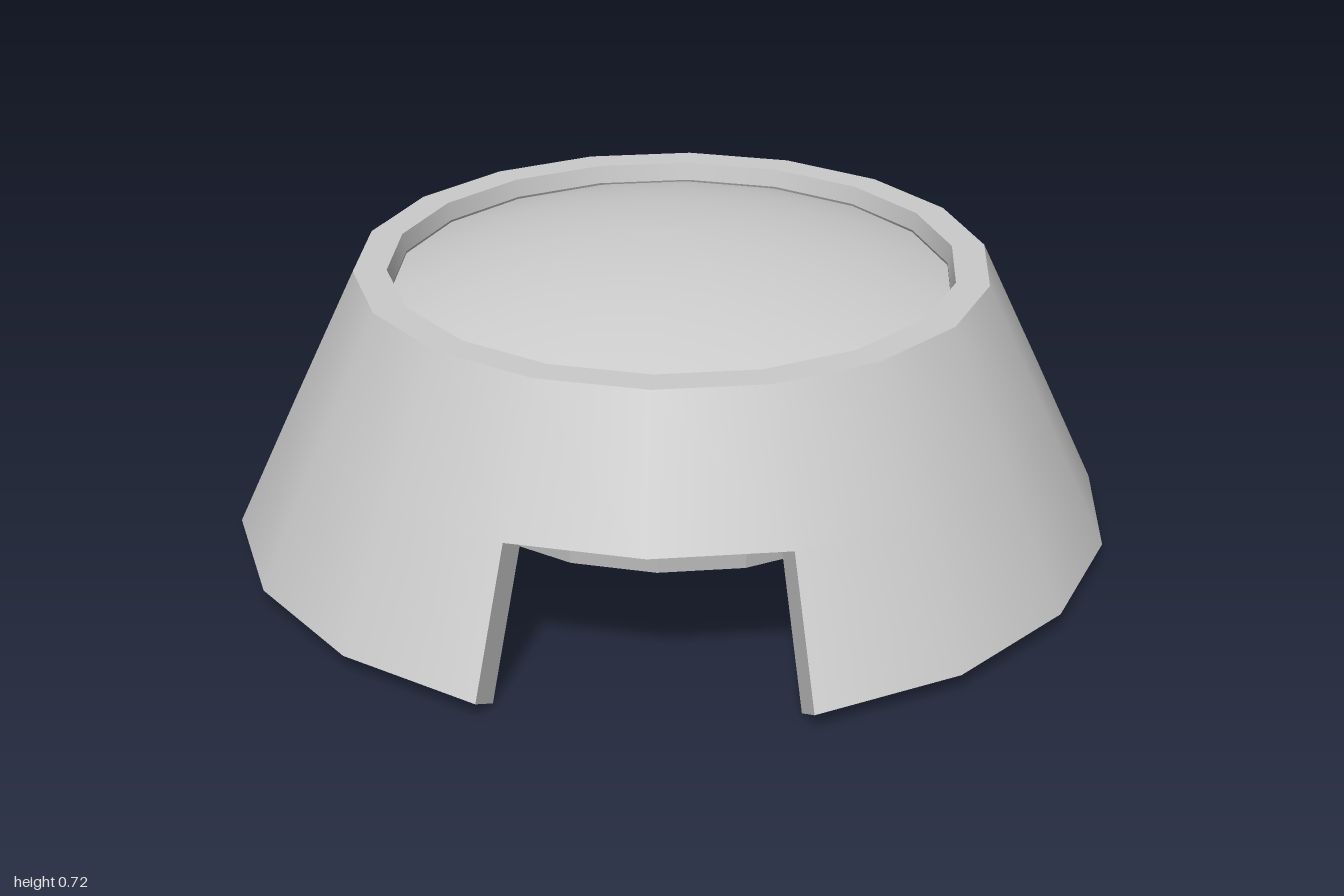
import * as THREE from 'three';

const DEG = Math.PI / 180;
const SIDES = 18;

// Shell wall profile as [radius, height]
const OUT_LOW = [1, 0.04], OUT_MID = [0.86, 0.34], OUT_TOP = [0.715, 0.645];
const IN_LOW = [0.925, 0], IN_MID = [0.78, 0.31], IN_TOP = [0.635, 0.612];
const RIM_IN = [0.64, 0.645], DOME_EDGE = [0.632, 0.603], CORE_LOW = [0.55, 0.14];

export function createModel() {
  const model = new THREE.Group();
  const smooth = new THREE.MeshStandardMaterial({ color: 0xcccccc });
  const flat = new THREE.MeshStandardMaterial({ color: 0xcccccc, flatShading: true });
  const thin = new THREE.MeshStandardMaterial({ color: 0xcccccc, side: THREE.DoubleSide });

  // Revolve a profile over part of the 18-sided ring (angles from +z towards +x)
  function ring(name, profile, { start = -10, segments = SIDES, material = smooth, parent = model } = {}) {
    const points = profile.map(([r, y]) => new THREE.Vector2(r, y));
    const geometry = new THREE.LatheGeometry(points, segments, start * DEG, segments * 20 * DEG);
    const mesh = new THREE.Mesh(geometry, material);
    mesh.name = name;
    parent.add(mesh);
  }

  // Unbroken upper part of the shell
  ring('upperOuterWall', [OUT_MID, OUT_TOP]);
  ring('upperInnerWall', [IN_TOP, IN_MID]);
  ring('topRim', [OUT_TOP, RIM_IN]);
  ring('rimRecess', [RIM_IN, DOME_EDGE]);

  // Skirt halves, with an opening at the front and one at the back
  const jambShape = new THREE.Shape([OUT_LOW, OUT_MID, IN_MID, IN_LOW].map(([r, y]) => new THREE.Vector2(r, y)));
  for (const turn of [0, 180]) {
    const skirt = new THREE.Group();
    skirt.name = turn ? 'rightSkirt' : 'leftSkirt';
    const half = { start: 30 + turn, segments: 7, parent: skirt };
    ring('skirtOuterWall', [OUT_LOW, OUT_MID], half);
    ring('skirtInnerWall', [IN_MID, IN_LOW], half);
    ring('skirtBottomEdge', [IN_LOW, OUT_LOW], half);
    for (const angle of [30, 170]) {
      const jamb = new THREE.Mesh(new THREE.ShapeGeometry(jambShape), thin);
      jamb.name = 'openingJamb';
      jamb.rotation.y = (angle + turn - 90) * DEG;
      skirt.add(jamb);
    }
    model.add(skirt);
    ring('openingLintel', [IN_MID, OUT_MID], { start: -10 + turn, segments: 2, material: flat });
  }

  // Faceted core hanging inside the shell
  ring('coreWall', [CORE_LOW, IN_TOP], { material: flat });
  ring('coreBase', [[0, CORE_LOW[1]], CORE_LOW], { material: flat });

  // Shallow dome sunk in the rim
  const dome = [];
  for (let i = 0; i <= 8; i++) {
    const r = DOME_EDGE[0] * (1 - i / 8);
    dome.push([r, 0.72 - 1.7 + Math.sqrt(1.7 * 1.7 - r * r)]);
  }
  ring('dome', dome);

  return model;
}
